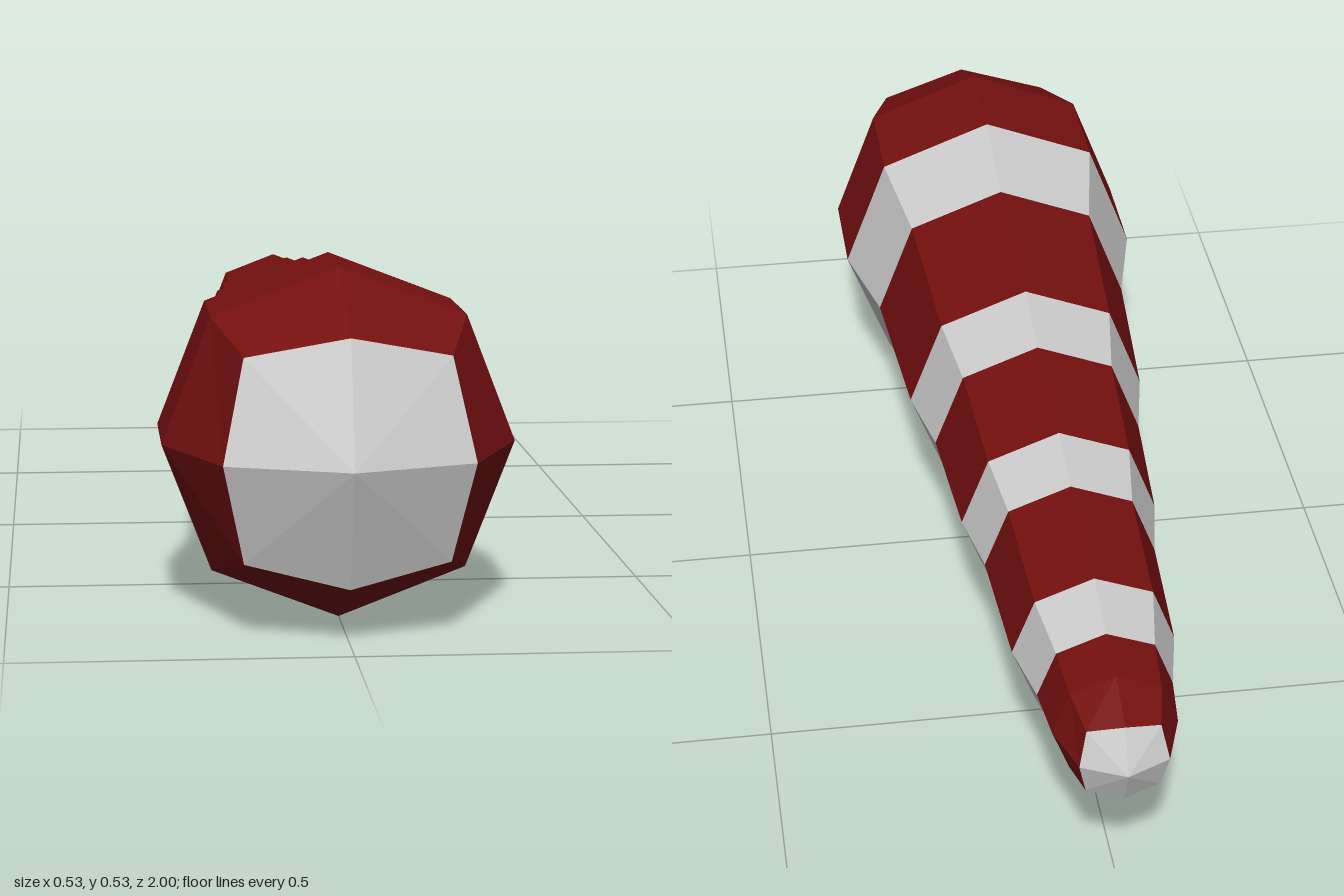
import * as THREE from 'three';

const SIDES = 8;
const CENTRE_Y = 0.267;

// One octagonal section: r, z at the axis corners; d, dz at the diagonal corners
function ring(z, r, d = r * 0.722, dz = z) {
  return Array.from({ length: SIDES }, (_, k) => {
    const a = (k / SIDES) * Math.PI * 2;
    const diagonal = k % 2 === 1;
    const radius = diagonal ? d * Math.SQRT2 : r;
    return [Math.cos(a) * radius, CENTRE_Y + Math.sin(a) * radius, diagonal ? dz : z];
  });
}

// Skin between successive sections, listed from front to back
function skin(rings) {
  const pos = [];
  for (let i = 0; i + 1 < rings.length; i++) {
    const front = rings[i], back = rings[i + 1];
    const frontPoint = i === 0 && front.isPoint;
    for (let k = 0; k < SIDES; k++) {
      const n = (k + 1) % SIDES;
      if (!frontPoint) pos.push(...front[k], ...back[k], ...front[n]);
      if (!back.isPoint) pos.push(...front[n], ...back[k], ...back[n]);
    }
  }
  const geo = new THREE.BufferGeometry();
  geo.setAttribute('position', new THREE.Float32BufferAttribute(pos, 3));
  geo.computeVertexNormals();
  return geo;
}

function point(z) {
  const p = ring(z, 0);
  p.isPoint = true;
  return p;
}

export function createModel() {
  const group = new THREE.Group();
  group.name = 'stripedClub';
  const grey = new THREE.MeshStandardMaterial({ color: 0xcccccc, flatShading: true });
  const red = new THREE.MeshStandardMaterial({ color: 0x761010, flatShading: true });

  const add = (name, material, rings) => {
    const mesh = new THREE.Mesh(skin(rings), material);
    mesh.name = name;
    group.add(mesh);
  };

  // Rounded ends
  const headRim = ring(0.932, 0.184, 0.152, 0.895);
  const tipRim = ring(-0.968, 0.068, 0.056, -0.955);
  add('headCap', grey, [point(1), headRim]);
  add('headBand', red, [headRim, ring(0.742, 0.266), ring(0.547, 0.266)]);

  // Alternating bands of the tapering body
  const body = [
    [0.547, 0.266], [0.366, 0.224], [0.052, 0.203], [-0.087, 0.176],
    [-0.325, 0.161], [-0.447, 0.139], [-0.68, 0.128], [-0.79, 0.105],
  ].map(([z, r]) => ring(z, r));
  for (let i = 0; i + 1 < body.length; i++) {
    add(i % 2 ? 'redBand' : 'greyBand', i % 2 ? red : grey, [body[i], body[i + 1]]);
  }

  add('tipBand', red, [body[body.length - 1], ring(-0.882, 0.096), tipRim]);
  add('tipCap', grey, [tipRim, point(-1)]);
  return group;
}
